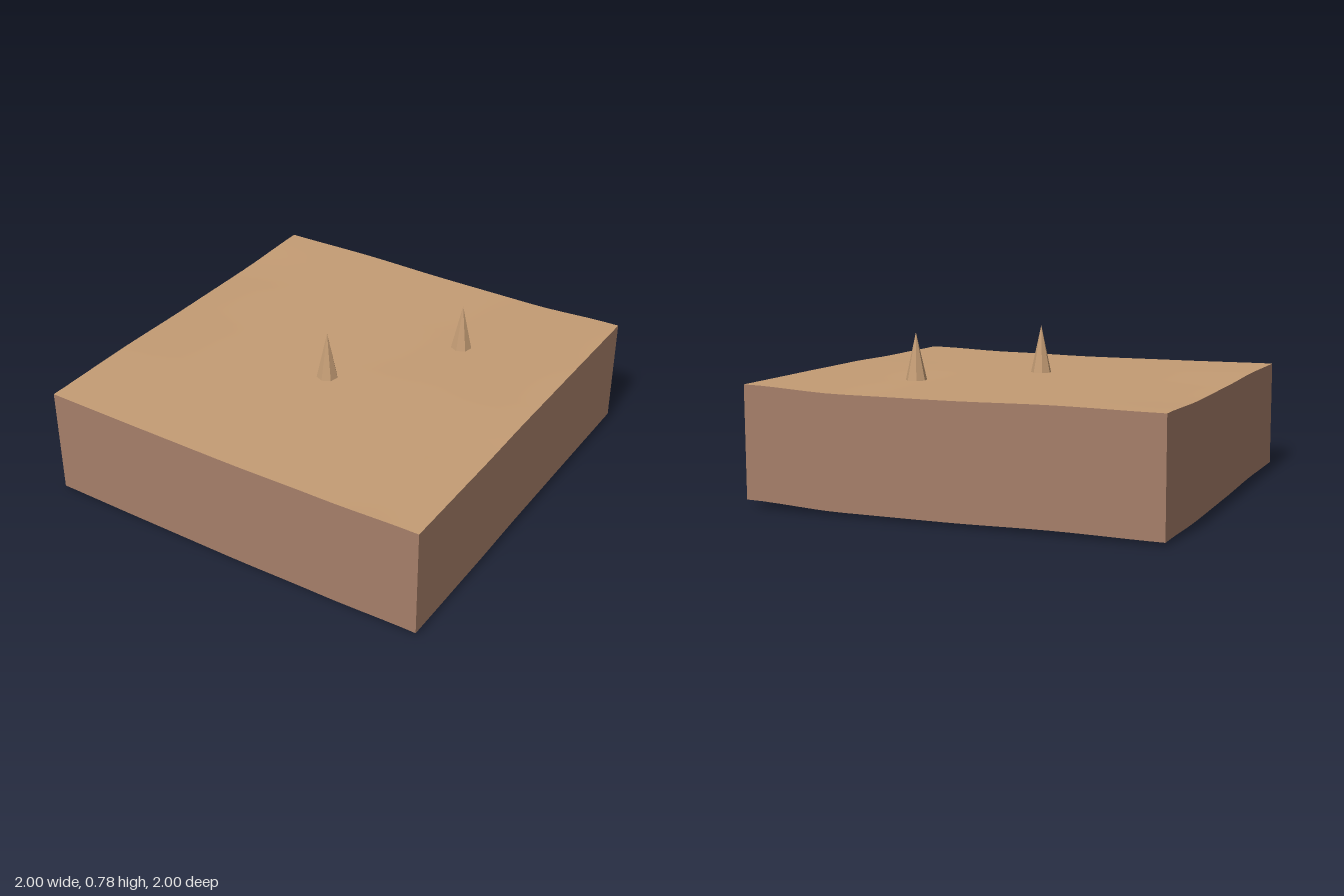
import * as THREE from 'three';

// Ground heights: rows run from back (z = -1) to front (z = 1), columns from x = -1 to 1
const HEIGHTS = [
  [0.549, 0.555, 0.549, 0.55, 0.571],
  [0.537, 0.549, 0.546, 0.551, 0.57],
  [0.538, 0.544, 0.543, 0.553, 0.568],
  [0.544, 0.542, 0.54, 0.546, 0.559],
  [0.539, 0.536, 0.535, 0.542, 0.556],
];
const DEPTH = 0.535;
const SEGMENTS = 24;

// Smooth blend between the neighbouring control heights
function groundHeight(x, z) {
  const u = (x + 1) * 2, v = (z + 1) * 2;
  const i = Math.min(3, Math.floor(u)), j = Math.min(3, Math.floor(v));
  const a = THREE.MathUtils.smoothstep(u - i, 0, 1);
  const b = THREE.MathUtils.smoothstep(v - j, 0, 1);
  const row = (r) => THREE.MathUtils.lerp(HEIGHTS[r][i], HEIGHTS[r][i + 1], a);
  return THREE.MathUtils.lerp(row(j), row(j + 1), b);
}

// Gently rolling top sheet
function groundGeometry() {
  const geometry = new THREE.PlaneGeometry(2, 2, SEGMENTS, SEGMENTS).rotateX(-Math.PI / 2);
  const p = geometry.attributes.position;
  for (let i = 0; i < p.count; i++) p.setY(i, groundHeight(p.getX(i), p.getZ(i)));
  geometry.computeVertexNormals();
  return geometry;
}

// One wall of constant depth hanging from the ground's edge
function wallGeometry(angle) {
  const geometry = new THREE.PlaneGeometry(2, 1, SEGMENTS, 1).translate(0, 0, 1).rotateY(angle);
  const p = geometry.attributes.position;
  for (let i = 0; i < p.count; i++) {
    const x = THREE.MathUtils.clamp(p.getX(i), -1, 1);
    const z = THREE.MathUtils.clamp(p.getZ(i), -1, 1);
    p.setXYZ(i, x, groundHeight(x, z) - (p.getY(i) < 0 ? DEPTH : 0), z);
  }
  return geometry;
}

export function createModel() {
  const group = new THREE.Group();
  const sand = new THREE.MeshStandardMaterial({ color: 0xc49c74, side: THREE.DoubleSide });
  sand.name = 'sand';
  const earth = new THREE.MeshStandardMaterial({ color: 0xa67f69, side: THREE.DoubleSide });
  earth.name = 'earth';
  const stone = new THREE.MeshStandardMaterial({ color: 0xc69e76, flatShading: true });
  stone.name = 'stone';

  const add = (name, geometry, material) => {
    const mesh = new THREE.Mesh(geometry, material);
    mesh.name = name;
    group.add(mesh);
    return mesh;
  };

  add('ground', groundGeometry(), sand);

  // Side walls, open underneath
  ['frontWall', 'leftWall', 'backWall', 'rightWall'].forEach((name, i) =>
    add(name, wallGeometry(i * Math.PI / 2), earth));

  // Pointed spikes standing on the ground
  [['frontSpike', 0, 0.165], ['backSpike', 0.415, -0.415]].forEach(([name, x, z]) => {
    const base = groundHeight(x, z);
    const height = 0.78 - base;
    add(name, new THREE.ConeGeometry(0.052, height, 7), stone).position.set(x, base + height / 2, z);
  });

  return group;
}
